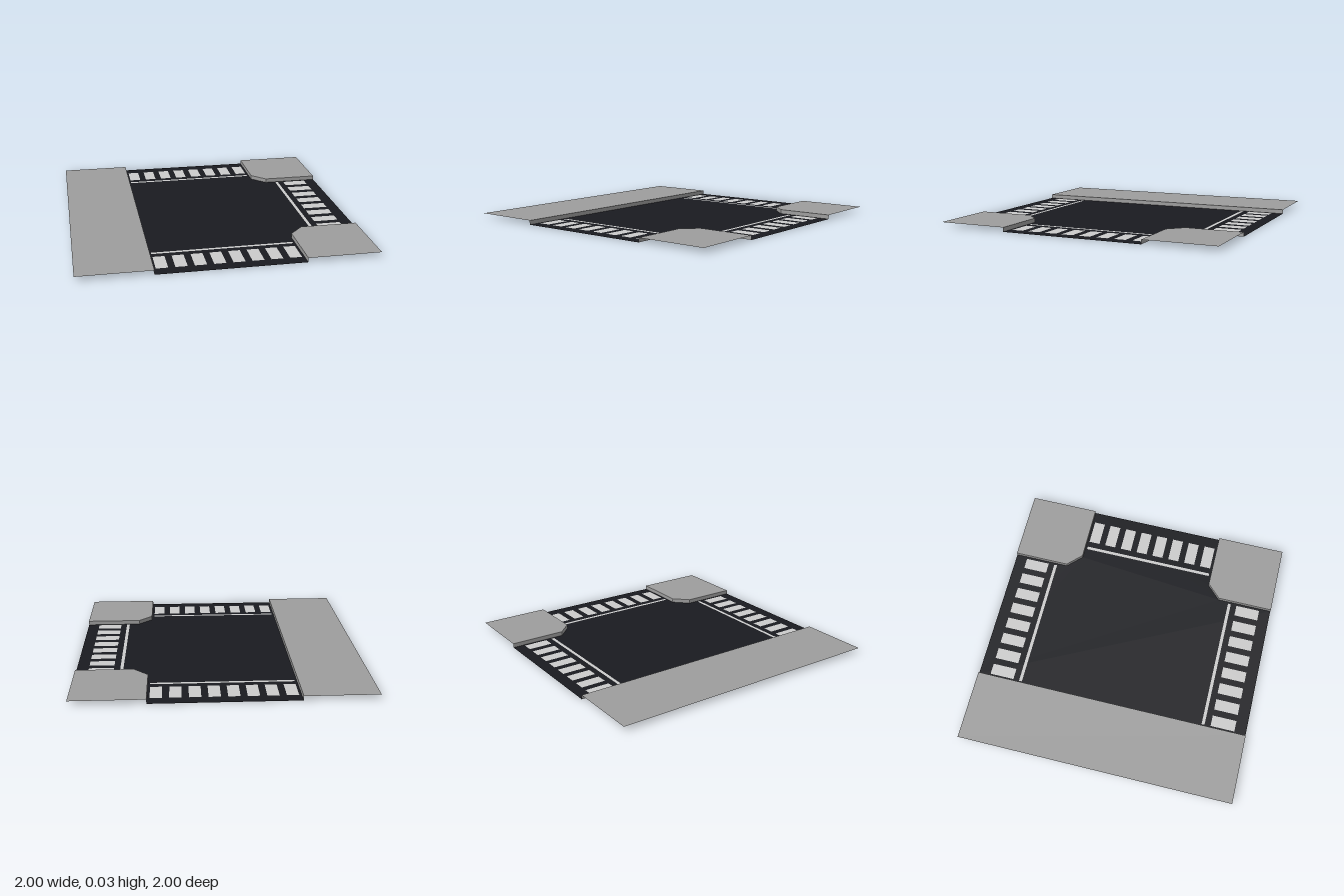
import * as THREE from 'three';

const CURB = 0.03; // pavement height
const PAINT = 0.001; // lift of the markings above the road

const material = (color) => new THREE.MeshStandardMaterial({ color, side: THREE.DoubleSide });

// Horizontal sheet from an outline of [x, z] points
function sheet(name, points, y, mat) {
  const shape = new THREE.Shape(points.map(([x, z]) => new THREE.Vector2(x, -z)));
  const mesh = new THREE.Mesh(new THREE.ShapeGeometry(shape).rotateX(-Math.PI / 2), mat);
  mesh.position.y = y;
  mesh.name = name;
  return mesh;
}

// Upright kerb face following a path of [x, z] points, facing the road
function kerb(name, path, mat) {
  const pos = [];
  for (let i = 0; i < path.length - 1; i++) {
    const [ax, az] = path[i];
    const [bx, bz] = path[i + 1];
    pos.push(ax, 0, az, bx, 0, bz, bx, CURB, bz);
    pos.push(ax, 0, az, bx, CURB, bz, ax, CURB, az);
  }
  const geo = new THREE.BufferGeometry();
  geo.setAttribute('position', new THREE.Float32BufferAttribute(pos, 3));
  geo.computeVertexNormals();
  const mesh = new THREE.Mesh(geo, mat);
  mesh.name = name;
  return mesh;
}

// Raised pavement: top surface plus the kerb along its road side
function pavement(name, path, outer, mat) {
  const group = new THREE.Group();
  group.name = name;
  group.add(sheet('pavementTop', [...path, ...outer], CURB, mat), kerb('kerb', path, mat));
  return group;
}

// Zebra stripes and stop line for one arm, drawn for the arm towards +z
function crossing(name, angle, mat) {
  const group = new THREE.Group();
  group.name = name;
  const mark = (label, w, x, z0, z1) => {
    const mesh = new THREE.Mesh(new THREE.PlaneGeometry(w, z1 - z0).rotateX(-Math.PI / 2), mat);
    mesh.position.set(x, PAINT, (z0 + z1) / 2);
    mesh.name = label;
    group.add(mesh);
  };
  for (let i = 0; i < 8; i++) mark('zebraStripe', 0.08, (i - 3.5) * 0.1265, 0.742, 0.917);
  mark('stopLine', 0.97, 0, 0.676, 0.698);
  group.rotation.y = angle;
  return group;
}

export function createModel() {
  const asphalt = material(0x1a1b20);
  const concrete = material(0x9d9d9d);
  const paint = material(0xcccccc);
  const model = new THREE.Group();
  model.name = 'roadJunction';

  // Kerb lines, ordered so that each face looks onto the road
  const straight = [[-0.5, 1], [-0.5, -1]];
  const frontCorner = [[1, 0.5], [0.6, 0.5], [0.5, 0.6], [0.5, 1]];
  const backCorner = frontCorner.map(([x, z]) => [x, -z]).reverse();

  // Road surface fills the space between the kerbs
  model.add(sheet('road', [...straight, ...backCorner, ...frontCorner], 0, asphalt));

  // Pavements
  model.add(
    pavement('straightPavement', straight, [[-1, -1], [-1, 1]], concrete),
    pavement('frontCornerPavement', frontCorner, [[1, 1]], concrete),
    pavement('backCornerPavement', backCorner, [[1, -1]], concrete)
  );

  // Markings on the three arms
  model.add(
    crossing('frontCrossing', 0, paint),
    crossing('sideCrossing', Math.PI / 2, paint),
    crossing('backCrossing', Math.PI, paint)
  );
  return model;
}
